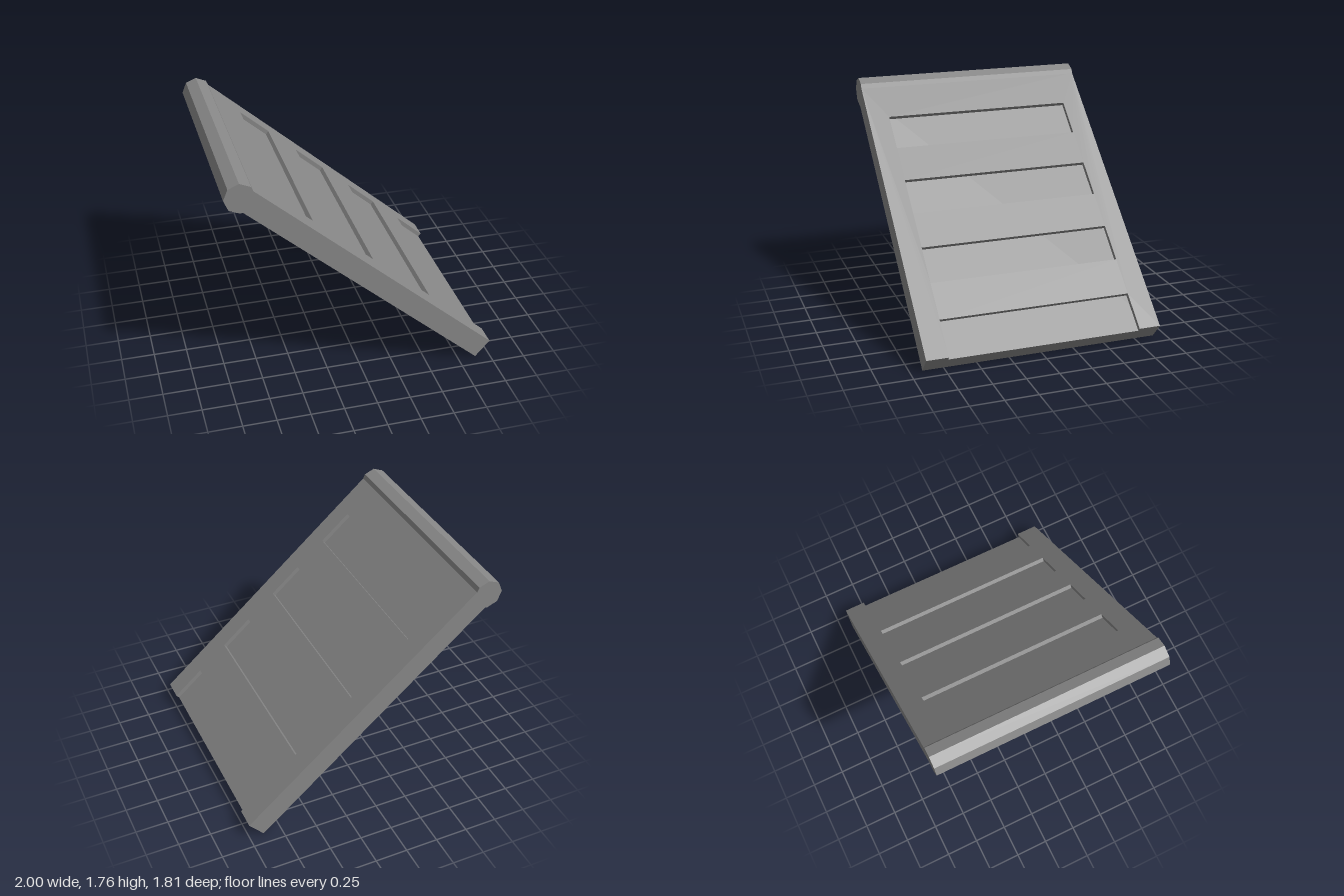
import * as THREE from 'three';

const LENGTH = 2.384, HALF = 0.907, THICK = 0.167, DEPTH = 0.033;
const TILT = 0.7186; // slope angle
const RECESS_HALF = 0.74, PITCH = LENGTH / 4;

export function createModel() {
  const model = new THREE.Group();
  model.name = 'slopedRamp';
  const material = new THREE.MeshStandardMaterial({ color: 0x888888, flatShading: true });

  const add = (parent, name, geometry) => {
    const mesh = new THREE.Mesh(geometry, material);
    mesh.name = name;
    parent.add(mesh);
    return mesh;
  };

  // Board group: local +x runs down the slope, +y is the board's normal
  const board = new THREE.Group();
  board.name = 'board';
  board.position.set(0.998, 0.129, 0);
  board.rotation.z = -TILT;
  model.add(board);

  // Solid lower layer, which forms the recess floors
  const base = new THREE.BoxGeometry(LENGTH, THICK - DEPTH, HALF * 2);
  base.translate(-LENGTH / 2, -(THICK + DEPTH) / 2, 0);
  add(board, 'boardBase', base);

  // Top layer: open notch at the lower end, three closed recesses above it
  const top = new THREE.Shape([
    [-LENGTH, -HALF], [0, -HALF], [0, -RECESS_HALF], [-PITCH / 2, -RECESS_HALF],
    [-PITCH / 2, RECESS_HALF], [0, RECESS_HALF], [0, HALF], [-LENGTH, HALF],
  ].map(([x, y]) => new THREE.Vector2(x, y)));
  for (let i = 1; i < 4; i++) {
    const low = -i * PITCH, high = low - PITCH / 2;
    top.holes.push(new THREE.Path([
      new THREE.Vector2(high, -RECESS_HALF), new THREE.Vector2(high, RECESS_HALF),
      new THREE.Vector2(low, RECESS_HALF), new THREE.Vector2(low, -RECESS_HALF),
    ]));
  }
  const tread = new THREE.ExtrudeGeometry(top, { depth: DEPTH, bevelEnabled: false });
  tread.rotateX(-Math.PI / 2).translate(0, -DEPTH, 0);
  add(board, 'recessedTread', tread);

  // Eight-sided bar along the upper end
  const bar = new THREE.CylinderGeometry(0.113, 0.113, HALF * 2, 8);
  bar.rotateX(Math.PI / 2);
  add(model, 'topBar', bar).position.set(-0.887, 1.65, 0);

  return model;
}
